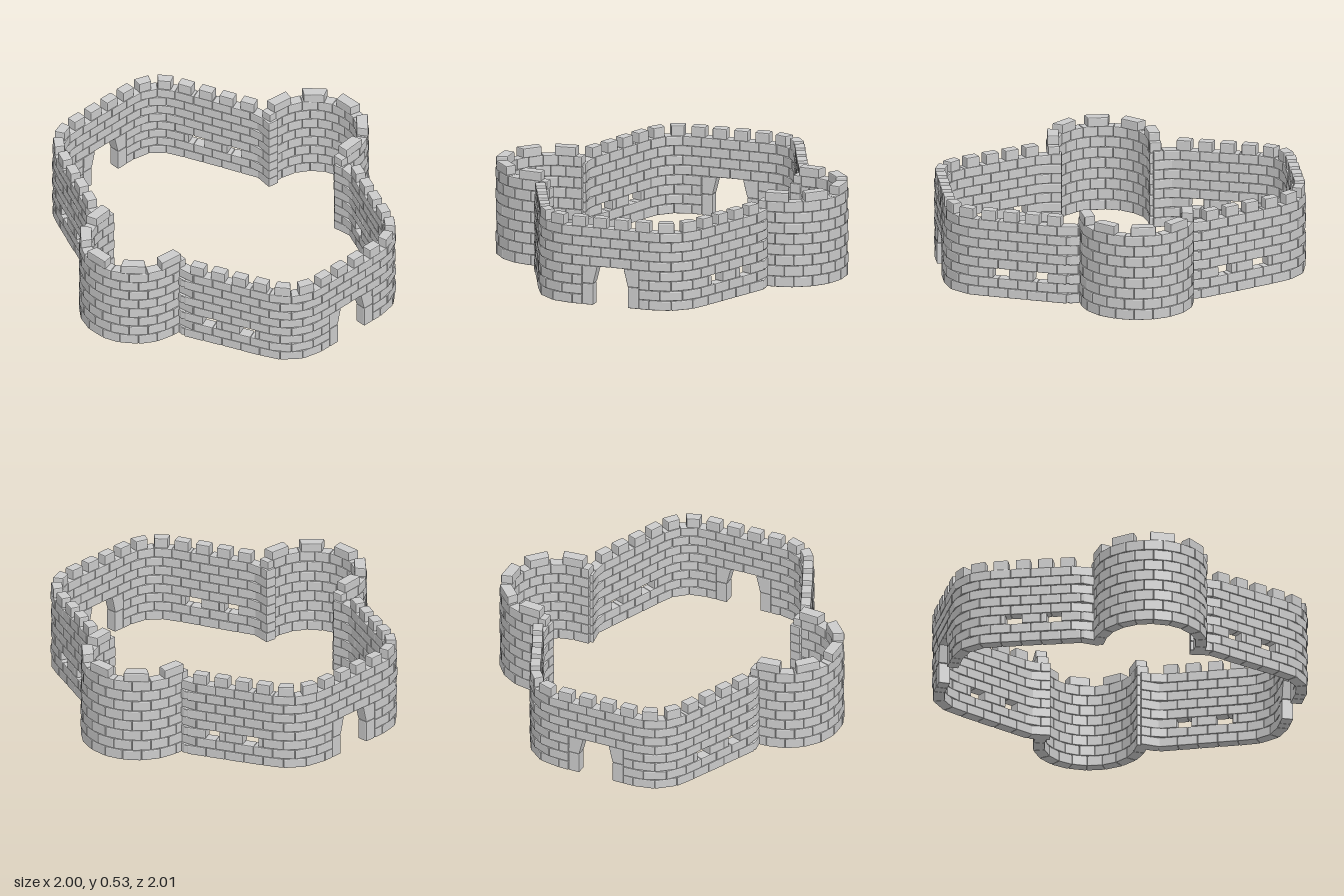
import * as THREE from 'three';
import { mergeGeometries } from 'three/addons/utils/BufferGeometryUtils.js';
import { RoundedBoxGeometry } from 'three/addons/geometries/RoundedBoxGeometry.js';

const V = (x, z) => new THREE.Vector2(x, z);
const material = new THREE.MeshStandardMaterial({ color: 0xcccccc, flatShading: true });
const BASE = 0.005;
const THICK = 0.065;

let seed = 7;
const rand = () => (seed = (seed * 16807) % 2147483647) / 2147483647;

// ground plans, as (x, z) paths with the outside on the +normal side
function wallPath() {
  const path = new THREE.CurvePath();
  path.add(new THREE.LineCurve(V(0.25, 0.625), V(0.36, 0.64)));
  path.add(new THREE.LineCurve(V(0.36, 0.64), V(0.82, 0.445)));
  path.add(new THREE.QuadraticBezierCurve(V(0.82, 0.445), V(0.965, 0.38), V(0.965, 0.22)));
  path.add(new THREE.LineCurve(V(0.965, 0.22), V(0.965, -0.22)));
  path.add(new THREE.QuadraticBezierCurve(V(0.965, -0.22), V(0.965, -0.38), V(0.82, -0.445)));
  path.add(new THREE.LineCurve(V(0.82, -0.445), V(0.36, -0.64)));
  path.add(new THREE.LineCurve(V(0.36, -0.64), V(0.25, -0.625)));
  return path;
}

function towerPath() {
  const path = new THREE.CurvePath();
  const cx = 0.015, cz = 0.69, r = 0.28;
  path.add(new THREE.LineCurve(V(cx - r, 0.61), V(cx - r, cz)));
  path.add(new THREE.EllipseCurve(cx, cz, r, r, Math.PI, 0, true));
  path.add(new THREE.LineCurve(V(cx + r, cz), V(cx + r, 0.61)));
  return path;
}

// one bevelled stone bent onto the path; s0/s1 at the bottom, t0/t1 at the top
function stone(path, s0, s1, y0, y1, { t0 = s0, t1 = s1, thick = THICK, lift = 0 } = {}) {
  const len = s1 - s0, h = y1 - y0, L = path.getLength();
  const geo = new RoundedBoxGeometry(len, h, thick, 1, 0.006);
  const pos = geo.attributes.position;
  const bulge = (rand() - 0.5) * 0.003;
  for (let i = 0; i < pos.count; i++) {
    const v = pos.getY(i) / h + 0.5;
    const a = THREE.MathUtils.lerp(s0, t0, v), b = THREE.MathUtils.lerp(s1, t1, v);
    const s = THREE.MathUtils.lerp(a, b, pos.getX(i) / len + 0.5);
    const u = THREE.MathUtils.clamp(s / L, 0, 1);
    const p = path.getPoint(u), t = path.getTangent(u);
    const off = pos.getZ(i) + bulge;
    const x = p.x - t.y * off, z = p.y + t.x * off;
    pos.setXYZ(i, x, y0 + v * h + lift * Math.max(0, (x - 0.3) / 0.7), z);
  }
  geo.computeVertexNormals();
  return geo;
}

// courses of staggered bricks, cut around the openings of each row
function courses(path, rows, rowH, bricks, holes, opts) {
  const L = path.getLength(), step = L / bricks, out = [];
  for (let r = 0; r < rows; r++) {
    const open = holes(r);
    const cuts = [0, L, ...open.flat()];
    for (let i = 0; i < bricks; i++) {
      const s = (i + (r % 2 ? 0.5 : 1)) * step;
      if (cuts.every((c) => Math.abs(c - s) > 0.022)) cuts.push(s);
    }
    cuts.sort((a, b) => a - b);
    for (let i = 0; i + 1 < cuts.length; i++) {
      const mid = (cuts[i] + cuts[i + 1]) / 2;
      if (open.some(([a, b]) => mid > a && mid < b)) continue;
      out.push(stone(path, cuts[i], cuts[i + 1], BASE + r * rowH, BASE + (r + 1) * rowH, opts));
    }
  }
  return out;
}

function addMesh(group, name, geos) {
  const mesh = new THREE.Mesh(mergeGeometries(geos), material);
  mesh.name = name;
  group.add(mesh);
}

function buildWall(lift) {
  const g = new THREE.Group(), path = wallPath();
  const L = path.getLength(), c = L / 2, rowH = 0.055, opts = { lift };

  // brickwork with two window slots each side and a gate in the middle
  const slots = [[0.22, 0.3], [0.44, 0.53]];
  const windows = [...slots, ...slots.map(([a, b]) => [L - b, L - a])];
  const holes = (r) => {
    if (r === 4) return [[c - 0.12, c + 0.12]];
    const list = r < 4 ? [[c - 0.165, c + 0.165]] : [];
    return r === 2 ? [...list, ...windows] : list;
  };
  addMesh(g, 'wallBricks', courses(path, 8, rowH, 20, holes, opts));

  // gate jambs, slanted shoulder stones and lintel
  const midY = 0.125, topY = BASE + 4 * rowH;
  addMesh(g, 'gateFrame', [
    stone(path, c - 0.165, c - 0.1, BASE, midY, opts),
    stone(path, c + 0.1, c + 0.165, BASE, midY, opts),
    stone(path, c - 0.165, c - 0.1, midY, topY, { t1: c - 0.075, lift }),
    stone(path, c + 0.1, c + 0.165, midY, topY, { t0: c + 0.075, lift }),
    stone(path, c - 0.12, c, topY, topY + rowH, opts),
    stone(path, c, c + 0.12, topY, topY + rowH, opts),
  ]);

  // battlements
  const merlons = [], n = 16, top = BASE + 8 * rowH;
  for (let i = 0; i < n; i++) {
    const s = 0.185 + (i * (L - 0.37)) / (n - 1);
    merlons.push(stone(path, s - 0.041, s + 0.041, top - 0.004, top + 0.057, { lift, thick: 0.058 }));
  }
  addMesh(g, 'wallMerlons', merlons);
  return g;
}

function buildTower() {
  const g = new THREE.Group(), path = towerPath();
  const c = path.getLength() / 2, rowH = 0.0605;
  addMesh(g, 'towerBricks', courses(path, 8, rowH, 11, () => [], {}));
  const top = BASE + 8 * rowH, merlons = [];
  for (let i = -2; i <= 2; i++) {
    const s = c + i * 0.21;
    merlons.push(stone(path, s - 0.064, s + 0.064, top - 0.004, top + 0.05));
  }
  addMesh(g, 'towerMerlons', merlons);
  return g;
}

export function createModel() {
  const model = new THREE.Group();
  model.name = 'castleWalls';
  const add = (part, name, angle) => {
    part.name = name;
    part.rotation.y = angle;
    model.add(part);
  };
  add(buildWall(0), 'leftWall', 0);
  add(buildWall(0.02), 'rightWall', Math.PI);
  add(buildTower(), 'frontTower', 0);
  add(buildTower(), 'backTower', Math.PI);
  return model;
}
